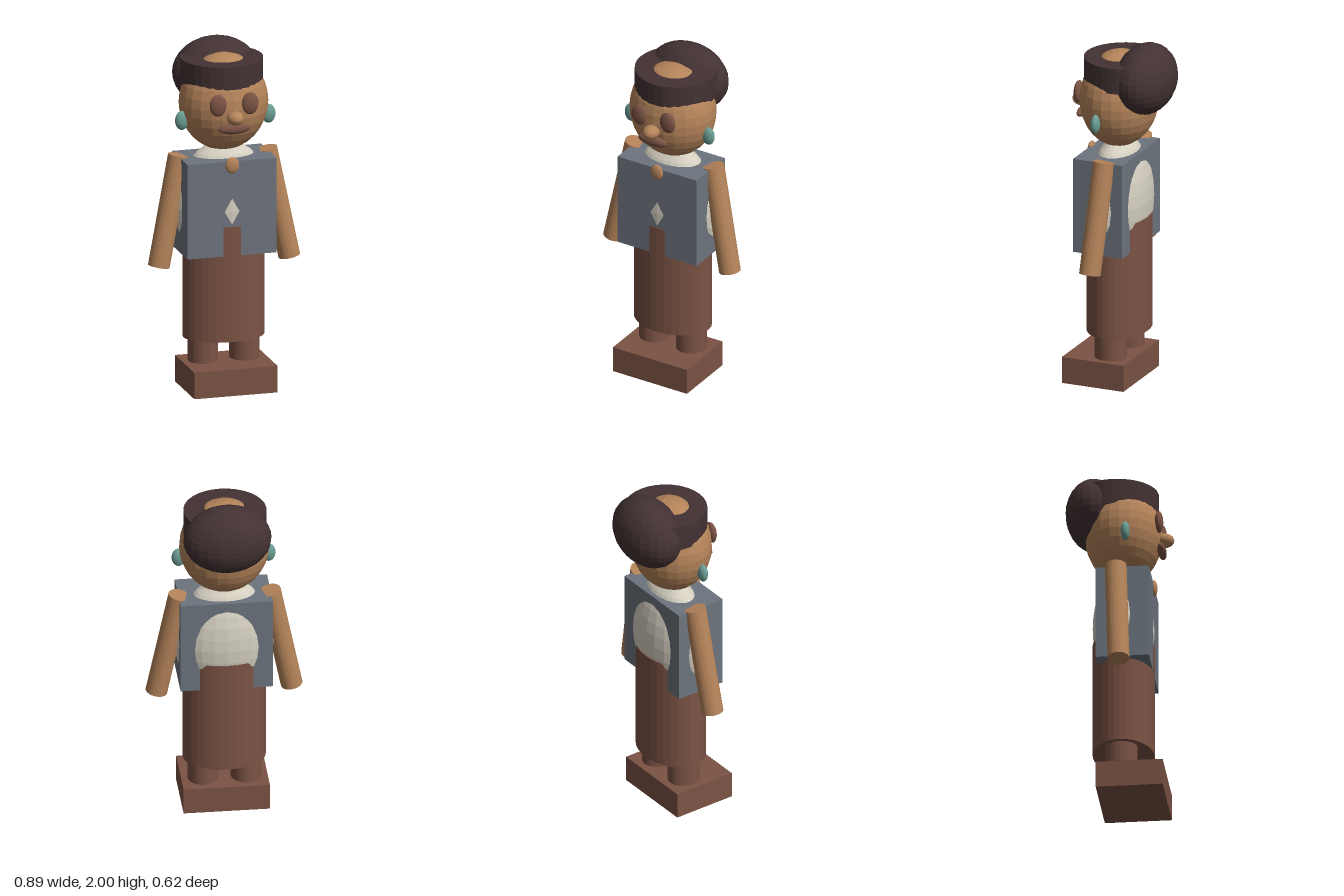
import * as THREE from 'three';

const mat = (name, color) => {
  const m = new THREE.MeshStandardMaterial({ color, flatShading: true });
  m.name = name;
  return m;
};

export function createModel() {
  const model = new THREE.Group();
  model.name = 'figure';
  const skin = mat('skin', 0xb5845a);
  const brown = mat('brown', 0x7b5344);
  const hair = mat('hair', 0x433233);
  const grey = mat('grey', 0x6d747e);
  const cream = mat('cream', 0xd4cec0);
  const teal = mat('teal', 0x6a9d94);

  const add = (name, geometry, material, x, y, z) => {
    const mesh = new THREE.Mesh(geometry, material);
    mesh.name = name;
    mesh.position.set(x, y, z);
    model.add(mesh);
    return mesh;
  };
  // Ellipsoid given by its centre and three radii
  const ball = (name, material, [x, y, z], [rx, ry, rz], w = 24, h = 16) =>
    add(name, new THREE.SphereGeometry(1, w, h).scale(rx, ry, rz), material, x, y, z);
  // Upright elliptical cylinder between two heights
  const column = (name, material, x, z, y0, y1, rx, rz) =>
    add(name, new THREE.CylinderGeometry(1, 1, y1 - y0, 32).scale(rx, 1, rz), material, x, (y0 + y1) / 2, z);
  const box = (name, material, [x, y, z], size) =>
    add(name, new THREE.BoxGeometry(...size), material, x, y, z);

  // Feet, skirt and upper body
  box('footBlock', brown, [0, 0.0775, 0.075], [0.49, 0.155, 0.38]);
  column('skirt', brown, 0, 0.018, 0.295, 0.97, 0.236, 0.175);
  ball('torso', cream, [0, 1.06, 0.018], [0.285, 0.375, 0.174]);
  box('vest', grey, [0, 1.077, 0.037], [0.524, 0.555, 0.303]);
  ball('brooch', skin, [0, 1.332, 0.19], [0.04, 0.048, 0.019]);

  // Head and hair
  ball('head', skin, [0, 1.665, 0.018], [0.256, 0.28, 0.22]);
  column('hairBand', hair, 0, -0.018, 1.765, 1.915, 0.235, 0.235);
  ball('hairBun', hair, [0, 1.798, -0.145], [0.25, 0.202, 0.165]);

  // Face
  ball('nose', skin, [0, 1.625, 0.25], [0.048, 0.04, 0.055]);
  ball('mouth', brown, [0, 1.56, 0.235], [0.095, 0.032, 0.025]);

  // Mirrored parts
  for (const [side, s] of [['left', 1], ['right', -1]]) {
    column(side + 'Leg', brown, s * 0.122, 0.018, 0.15, 0.3, 0.086, 0.092);
    ball(side + 'Eye', brown, [s * 0.094, 1.7, 0.228], [0.049, 0.064, 0.024]);
    ball(side + 'Earring', teal, [s * 0.255, 1.579, 0.053], [0.04, 0.055, 0.026]);

    const top = new THREE.Vector3(s * 0.257, 1.362, 0);
    const hand = new THREE.Vector3(s * 0.384, 0.727, 0.029);
    const axis = top.clone().sub(hand);
    const mid = top.clone().add(hand).multiplyScalar(0.5);
    const arm = add(side + 'Arm', new THREE.CylinderGeometry(0.062, 0.062, axis.length(), 24),
      skin, mid.x, mid.y, mid.z);
    arm.quaternion.setFromUnitVectors(new THREE.Vector3(0, 1, 0), axis.normalize());
  }
  return model;
}
